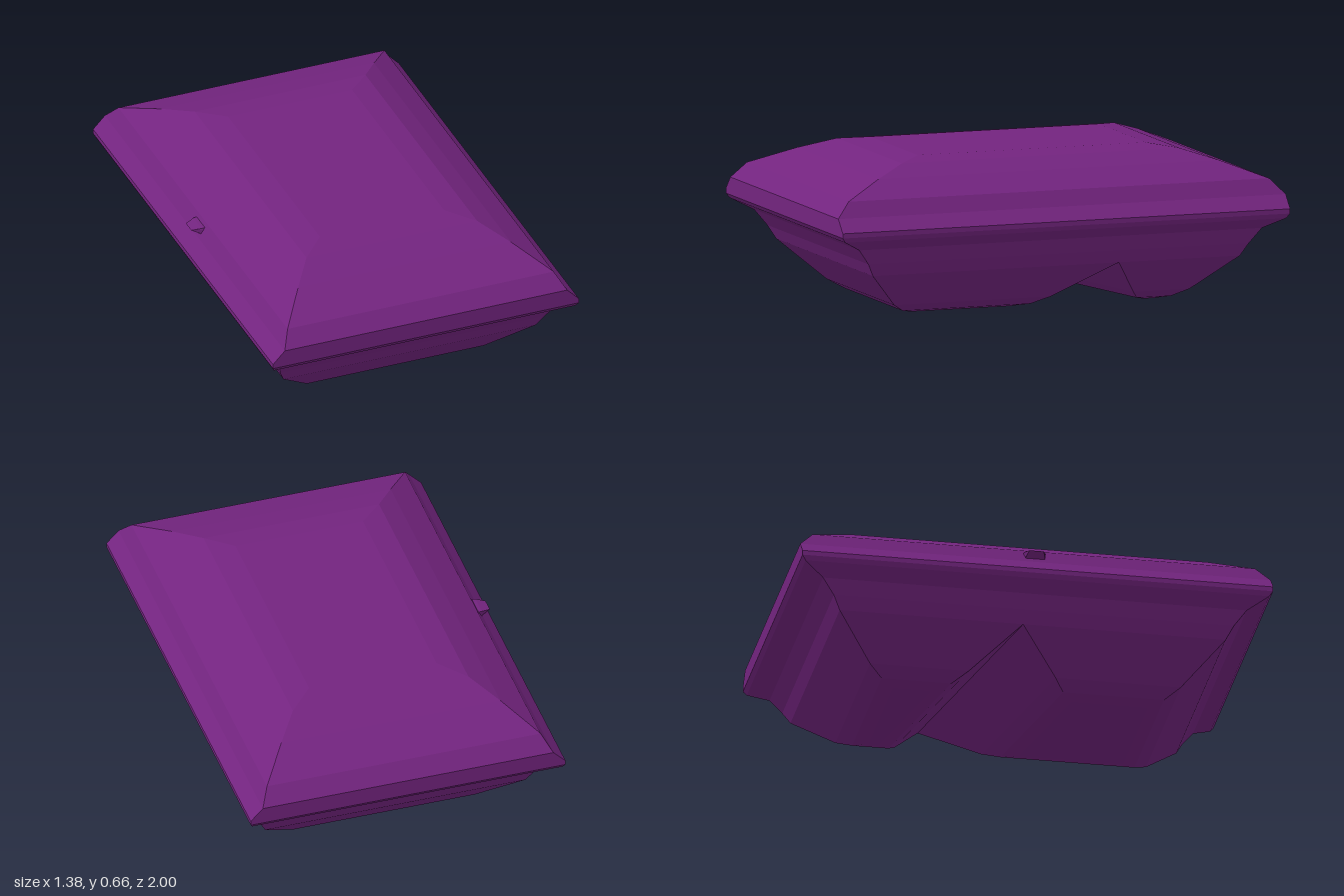
import * as THREE from 'three';

// Loft through four-cornered rings listed from bottom to top
function loft(rings, capBottom, capTop) {
  const pos = [];
  const quad = (a, b, c, d) => pos.push(...a, ...b, ...c, ...a, ...c, ...d);
  for (let i = 0; i < rings.length - 1; i++) {
    for (let j = 0; j < 4; j++) {
      const k = (j + 1) % 4;
      quad(rings[i][j], rings[i][k], rings[i + 1][k], rings[i + 1][j]);
    }
  }
  const b = rings[0], t = rings[rings.length - 1];
  if (capBottom) quad(b[0], b[3], b[2], b[1]);
  if (capTop) quad(t[0], t[1], t[2], t[3]);
  const geo = new THREE.BufferGeometry();
  geo.setAttribute('position', new THREE.Float32BufferAttribute(pos, 3));
  geo.computeVertexNormals();
  return geo;
}

// Ring from half width, front z and back z; z may depend on x
const ring = (y, x, front, back) => [
  [x, y, front(x)], [x, y, back(x)], [-x, y, back(-x)], [-x, y, front(-x)],
];
const rect = ([y, x, z]) => ring(y, x, () => z, () => -z);

export function createModel() {
  const group = new THREE.Group();
  const purple = new THREE.MeshStandardMaterial({ color: 0x73247f });
  purple.name = 'purple';
  const add = (name, geo) => {
    const mesh = new THREE.Mesh(geo, purple);
    mesh.name = name;
    group.add(mesh);
  };

  // Domed lid with a flat top: [y, half width, half depth]
  add('lid', loft([
    [0.41, 0.69, 1], [0.465, 0.637, 1], [0.53, 0.6, 0.94],
    [0.6, 0.48, 0.76], [0.645, 0.385, 0.62], [0.66, 0.28, 0.51],
  ].map(rect), false, true));

  // Rim and upper wall of the base
  add('baseRim', loft([
    [0.205, 0.57, 0.82], [0.26, 0.597, 0.85], [0.325, 0.62, 0.9],
    [0.37, 0.68, 0.985], [0.39, 0.69, 1], [0.41, 0.69, 1],
  ].map(rect), false, false));

  // Two tubs below, parted by a slanted valley
  const valley = (x) => -0.16 - 0.21 * x;
  // [y, half width, half depth, front tub setback, back tub setback]
  const levels = [
    [0, 0.28, 0.54, 0.32, 0.28], [0.015, 0.34, 0.6, 0.26, 0.215],
    [0.05, 0.4, 0.66, 0.205, 0.165], [0.205, 0.57, 0.82, 0, 0],
  ];
  add('frontTub', loft(levels.map(([y, x, z, d]) =>
    ring(y, x, () => z, (px) => valley(px) + d)), true, false));
  add('backTub', loft(levels.map(([y, x, z, , d]) =>
    ring(y, x, (px) => valley(px) - d, () => -z)), true, false));

  // Small wedge-shaped latch on the lid's right slope
  add('latch', loft([
    [[-0.6, 0.475, 0.045], [-0.6, 0.475, -0.045], [-0.618, 0.48, -0.045], [-0.618, 0.48, 0.045]],
    [[-0.6, 0.503, 0.05], [-0.6, 0.503, -0.05], [-0.665, 0.503, -0.03], [-0.665, 0.503, 0.03]],
    [[-0.59, 0.514, 0.05], [-0.59, 0.514, -0.05], [-0.625, 0.512, -0.045], [-0.625, 0.512, 0.045]],
  ], true, true));

  return group;
}
